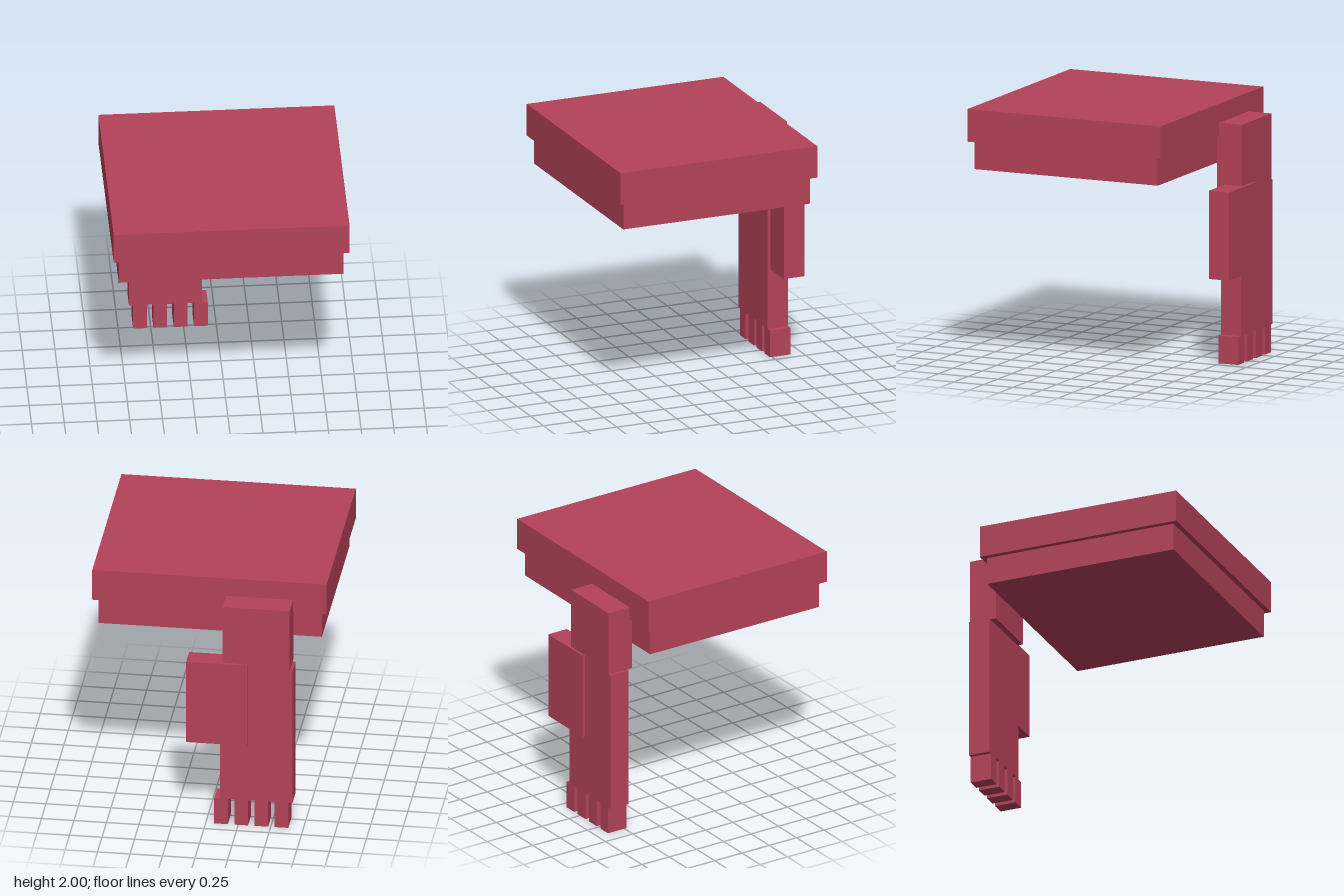
import * as THREE from 'three';

export function createModel() {
  const model = new THREE.Group();
  const crimson = new THREE.MeshStandardMaterial({ color: 0xb44258 });
  crimson.name = 'crimson';

  // Box given by its low and high limits on each axis
  function addBox(parent, name, [x0, x1], [y0, y1], [z0, z1]) {
    const mesh = new THREE.Mesh(new THREE.BoxGeometry(x1 - x0, y1 - y0, z1 - z0), crimson);
    mesh.position.set((x0 + x1) / 2, (y0 + y1) / 2, (z0 + z1) / 2);
    mesh.name = name;
    parent.add(mesh);
  }

  // Stepped square slab
  addBox(model, 'topSlab', [-0.903, 0.9], [1.747, 2], [-0.708, 0.925]);
  addBox(model, 'lowerSlab', [-0.861, 0.857], [1.53, 1.747], [-0.665, 0.884]);

  // Hand hanging from the rear edge
  const hand = new THREE.Group();
  hand.name = 'hand';
  model.add(hand);
  addBox(hand, 'wrist', [-0.645, -0.131], [1.337, 1.852], [-0.903, -0.688]);
  addBox(hand, 'palm', [-0.667, -0.11], [0.215, 1.337], [-0.901, -0.732]);
  addBox(hand, 'thumb', [-0.322, 0.148], [0.692, 1.376], [-0.925, -0.755]);

  // Four evenly spaced fingers
  for (let i = 0; i < 4; i++) {
    const x = -0.635 + i * 0.155;
    addBox(hand, `finger${i + 1}`, [x, x + 0.105], [0, 0.215], [-0.901, -0.732]);
  }
  return model;
}
